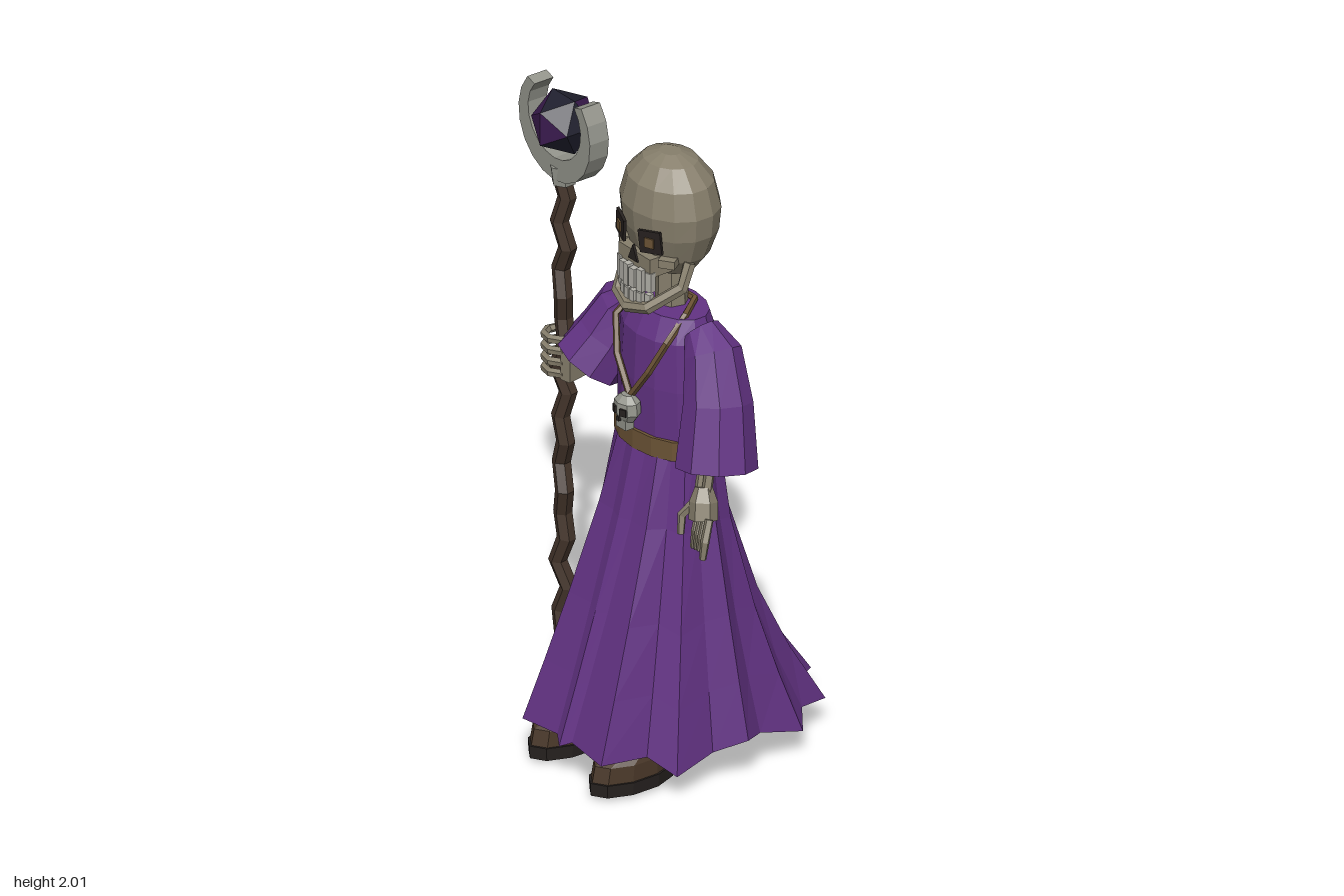
import * as THREE from 'three';

const V = (x, y, z) => new THREE.Vector3(x, y, z);
const mat = (name, color, side = THREE.FrontSide) => {
  const m = new THREE.MeshStandardMaterial({ color, side });
  m.name = name;
  return m;
};
const CX = 0.053; // body centre line

// Faceted surface through equal-length closed rings of points
function loft(rings, capStart = true, capEnd = true) {
  const pos = [], n = rings[0].length;
  const tri = (...ps) => ps.forEach(p => pos.push(p.x, p.y, p.z));
  for (let j = 0; j < rings.length - 1; j++) {
    for (let i = 0; i < n; i++) {
      const k = (i + 1) % n;
      const a = rings[j][i], b = rings[j][k], c = rings[j + 1][k], d = rings[j + 1][i];
      tri(a, b, c);
      tri(a, c, d);
    }
  }
  const cap = (ring, flip) => {
    const mid = ring.reduce((s, p) => s.add(p), V(0, 0, 0)).divideScalar(n);
    for (let i = 0; i < n; i++) {
      const a = ring[i], b = ring[(i + 1) % n];
      flip ? tri(mid, b, a) : tri(mid, a, b);
    }
  };
  if (capStart) cap(rings[0], true);
  if (capEnd) cap(rings[rings.length - 1], false);
  const g = new THREE.BufferGeometry();
  g.setAttribute('position', new THREE.Float32BufferAttribute(pos, 3));
  return g;
}

// Level oval rings listed from bottom to top: [y, rx, rz, centre z]
const ovals = (rows, sides, x = CX) => rows.map(([y, rx, rz, z]) =>
  Array.from({ length: sides }, (_, i) => {
    const a = (i / sides) * Math.PI * 2;
    return V(x + Math.sin(a) * rx, y, z + Math.cos(a) * rz);
  }));

// Faceted tube along [x, y, z, radius] points
function tube(pts, sides = 6, capStart = true, capEnd = true) {
  const ps = pts.map(p => V(p[0], p[1], p[2]));
  let u = V(0.31, 0.2, 0.93);
  const rings = ps.map((p, j) => {
    const t = ps[Math.min(j + 1, ps.length - 1)].clone().sub(ps[Math.max(j - 1, 0)]).normalize();
    u = u.clone().addScaledVector(t, -u.dot(t)).normalize();
    const v = t.clone().cross(u);
    return Array.from({ length: sides }, (_, i) => {
      const a = (i / sides) * Math.PI * 2;
      return p.clone().addScaledVector(u, Math.cos(a) * pts[j][3]).addScaledVector(v, Math.sin(a) * pts[j][3]);
    });
  });
  return loft(rings, capStart, capEnd);
}

export function createModel() {
  const model = new THREE.Group();
  const robe = mat('robePurple', 0x633384, THREE.DoubleSide);
  const bone = mat('bone', 0x877f6c);
  const tooth = mat('tooth', 0xb4b2aa);
  const wood = mat('wood', 0x43342a);
  const leather = mat('beltLeather', 0x6b5335);
  const boot = mat('bootBrown', 0x4a3829);
  const dark = mat('darkSole', 0x26211f);
  const metal = mat('paleMetal', 0x94958c);
  const gemDark = mat('gemDark', 0x20202e);
  const gemPurple = mat('gemPurple', 0x3c1c50);

  const add = (name, geo, material, parent = model) => {
    const g = geo.index ? geo.toNonIndexed() : geo;
    g.computeVertexNormals();
    const m = new THREE.Mesh(g, material);
    m.name = name;
    parent.add(m);
    return m;
  };
  const box = (name, size, at, material, ry = 0, rz = 0) => {
    const m = add(name, new THREE.BoxGeometry(...size), material);
    m.position.set(...at);
    m.rotation.set(0, ry, rz);
    return m;
  };

  // Pleated skirt: half hem from back to front [x, z, y], mirrored
  const half = [[0, -0.455, 0.07], [0.08, -0.355, 0.1], [0.175, -0.375, 0.07], [0.225, -0.253, 0.1],
    [0.3, -0.2, 0.07], [0.295, -0.05, 0.11], [0.345, 0.03, 0.13], [0.295, 0.12, 0.1], [0.31, 0.26, 0.07],
    [0.22, 0.3, 0.11], [0.187, 0.44, 0.11], [0.035, 0.43, 0.12], [0, 0.45, 0.1]];
  const hem = [...half, ...half.slice(1, -1).reverse().map(([x, z, y]) => [-x, z, y])];
  const skirt = [0, 0.26, 0.57, 0.8, 1].map(t => hem.map(([x, z, y], i) => {
    const a = (i / hem.length) * Math.PI * 2;
    const pleat = i % 2 ? 0.93 : 1;
    const f = Math.pow(t, 1.15 + 0.75 * Math.max(0, Math.cos(a)));
    const tx = Math.sin(a) * 0.185 * pleat, tz = 0.055 - Math.cos(a) * 0.125 * pleat;
    return V(CX + tx + (x - tx) * f, 1.01 + (y - 1.01) * t, tz + (z - tz) * f);
  }));
  add('skirt', loft(skirt, false, false), robe);
  add('skirtLining', loft([skirt[3], skirt[4].map(p => V(CX + (p.x - CX) * 0.97, p.y + 0.02, p.z * 0.97))], false, true), robe);

  // Upper robe and belt
  add('robeBody', loft(ovals([[0.98, 0.185, 0.12, 0.055], [1.2, 0.182, 0.125, 0.055],
    [1.35, 0.17, 0.118, 0.055], [1.42, 0.145, 0.09, 0.05]], 14)), robe);
  add('belt', loft(ovals([[0.985, 0.196, 0.132, 0.055], [1.045, 0.194, 0.131, 0.055]], 16)), leather);

  // Wide sleeves
  add('leftSleeve', tube([[0.2, 1.385, 0.05, 0.055], [0.255, 1.335, 0.05, 0.085],
    [0.305, 1.2, 0.07, 0.103], [0.337, 1.015, 0.1, 0.122]], 9, true, false), robe);
  add('rightSleeve', tube([[-0.095, 1.385, 0.05, 0.055], [-0.145, 1.33, 0.055, 0.085],
    [-0.18, 1.23, 0.09, 0.1], [-0.215, 1.14, 0.14, 0.11]], 9, true, false), robe);

  // Left arm: two bones, palm and hanging fingers
  for (const d of [-0.016, 0.016]) {
    add('leftForearm', tube([[0.3 + d, 1.15, 0.08, 0.016], [0.318 + d, 0.92, 0.135, 0.016]], 5), bone);
  }
  add('leftPalm', tube([[0.318, 0.95, 0.13, 0.026], [0.33, 0.91, 0.14, 0.042], [0.342, 0.86, 0.15, 0.042]], 6), bone);
  for (let i = 0; i < 4; i++) {
    const x = 0.308 + i * 0.025, z = 0.135 + i * 0.008;
    add('leftFinger', tube([[x, 0.88, z, 0.013], [x + 0.012, 0.82, z + 0.025, 0.014],
      [x + 0.008, 0.765 + (i % 3) * 0.008, z + 0.03, 0.011]], 5), bone);
  }
  add('leftThumb', tube([[0.31, 0.91, 0.15, 0.014], [0.28, 0.86, 0.18, 0.014], [0.288, 0.805, 0.19, 0.011]], 5), bone);

  // Right arm: fingers wrapped around the staff
  add('rightForearm', tube([[-0.165, 1.25, 0.08, 0.026], [-0.245, 1.15, 0.17, 0.028]], 6), bone);
  box('rightPalm', [0.035, 0.13, 0.07], [-0.243, 1.15, 0.175], bone, 0.2);
  for (let i = 0; i < 4; i++) {
    const y = 1.21 - i * 0.036;
    add('rightFinger', tube([0, 1, 2, 3, 4, 5].map(k => {
      const a = -0.1 + k * 0.75;
      return [-0.297 + Math.cos(a) * 0.052, y - k * 0.002, 0.175 + Math.sin(a) * 0.05, 0.013];
    }), 5), bone);
  }

  // Crooked staff
  add('staff', tube(Array.from({ length: 23 }, (_, i) => [
    -0.29 + (i % 2 ? 0.013 : -0.013) + Math.sin(i * 1.7) * 0.006, i * 0.0786, 0.175 + Math.sin(i * 2.3) * 0.008, 0.028]), 6), wood);
  add('staffSocket', new THREE.CylinderGeometry(0.045, 0.036, 0.06, 6), metal).position.set(-0.285, 1.73, 0.178);

  // Crescent holding the gem
  const crescent = new THREE.Shape();
  const steps = 14, from = Math.PI * 0.77, sweep = Math.PI * 1.46;
  for (let i = 0; i <= steps; i++) {
    const a = from + (sweep * i) / steps;
    const x = Math.cos(a) * 0.17, y = Math.sin(a) * 0.17;
    i ? crescent.lineTo(x, y) : crescent.moveTo(x, y);
  }
  for (let i = steps; i >= 0; i--) {
    const a = from + (sweep * i) / steps;
    crescent.lineTo(Math.cos(a) * 0.125, Math.sin(a) * 0.12 + 0.022);
  }
  add('crescent', new THREE.ExtrudeGeometry(crescent, { depth: 0.068, bevelEnabled: false }), metal)
    .position.set(-0.285, 1.888, 0.144);
  const gemGeo = new THREE.IcosahedronGeometry(0.1, 0);
  for (let i = 0; i < 20; i++) gemGeo.addGroup(i * 3, 3, i % 3 ? 0 : 1);
  add('gem', gemGeo, [gemDark, gemPurple]).position.set(-0.285, 1.897, 0.178);

  // Neck and skull
  add('neck', new THREE.CylinderGeometry(0.045, 0.05, 0.2, 7), bone).position.set(CX, 1.5, 0.045);
  add('cranium', loft(ovals([[1.545, 0.085, 0.07, 0.05], [1.6, 0.13, 0.105, 0.05], [1.68, 0.162, 0.128, 0.05],
    [1.75, 0.168, 0.135, 0.05], [1.83, 0.145, 0.117, 0.05], [1.885, 0.09, 0.075, 0.05], [1.905, 0.035, 0.03, 0.05]], 14)), bone);
  box('upperJaw', [0.15, 0.06, 0.1], [CX, 1.59, 0.13], bone);
  add('lowerJaw', tube([[-0.125, 1.6, 0.075], [-0.13, 1.53, 0.105], [-0.07, 1.465, 0.185], [0, 1.45, 0.205],
    [0.07, 1.465, 0.185], [0.13, 1.53, 0.105], [0.125, 1.6, 0.075]].map(([x, y, z]) => [CX + x, y, z, 0.019]), 6), bone);

  // Face details
  for (const s of [-1, 1]) {
    box('eyeSocket', [0.075, 0.07, 0.009], [CX + s * 0.07, 1.675, 0.174], dark, s * 0.36, s * 0.12);
    box('eye', [0.03, 0.03, 0.009], [CX + s * 0.071, 1.674, 0.179], leather, s * 0.36);
    box('cheekbone', [0.05, 0.025, 0.06], [CX + s * 0.095, 1.61, 0.125], bone, s * 0.6);
  }
  const nose = new THREE.Shape([new THREE.Vector2(-0.022, -0.02), new THREE.Vector2(0.022, -0.02), new THREE.Vector2(0, 0.03)]);
  add('noseHole', new THREE.ExtrudeGeometry(nose, { depth: 0.008, bevelEnabled: false }), dark).position.set(CX, 1.612, 0.178);
  for (let i = 0; i < 6; i++) {
    const d = i - 2.5, z = 0.192 - d * d * 0.003;
    box('upperTooth', [0.023, 0.07 - (i % 2) * 0.01, 0.02], [CX + d * 0.027, 1.545, z], tooth, d * 0.1);
    box('lowerTooth', [0.02, 0.035, 0.018], [CX + d * 0.025, 1.487, z], tooth, d * 0.1);
  }

  // Necklace cord and skull pendant
  add('necklaceCord', tube([[0, 1.155, 0.195], [-0.075, 1.26, 0.185], [-0.12, 1.36, 0.155], [-0.11, 1.425, 0.08],
    [-0.05, 1.43, 0], [0.05, 1.43, 0], [0.11, 1.425, 0.08], [0.12, 1.36, 0.155], [0.075, 1.26, 0.185], [0, 1.155, 0.195]]
    .map(([x, y, z]) => [CX + x, y, z, 0.011]), 5), leather);
  add('pendantSkull', loft(ovals([[1.085, 0.03, 0.022, 0.207], [1.11, 0.048, 0.035, 0.205],
    [1.145, 0.044, 0.034, 0.205], [1.165, 0.02, 0.016, 0.205]], 8)), metal);
  box('pendantJaw', [0.045, 0.03, 0.03], [CX, 1.075, 0.213], metal);
  for (const s of [-1, 1]) box('pendantEye', [0.022, 0.022, 0.008], [CX + s * 0.02, 1.12, 0.235], dark, s * 0.4);
  box('pendantNose', [0.01, 0.014, 0.008], [CX, 1.095, 0.236], dark);

  // Boots with dark soles
  for (const s of [-1, 1]) {
    const x = CX + s * 0.145;
    add('sole', loft(ovals([[0, 0.074, 0.145, 0.3], [0.04, 0.076, 0.147, 0.3]], 10, x)), dark);
    add('boot', loft(ovals([[0.04, 0.07, 0.14, 0.3], [0.09, 0.068, 0.135, 0.295],
      [0.125, 0.055, 0.09, 0.265], [0.2, 0.05, 0.055, 0.22], [0.28, 0.05, 0.05, 0.2]], 10, x)), boot);
  }
  return model;
}
